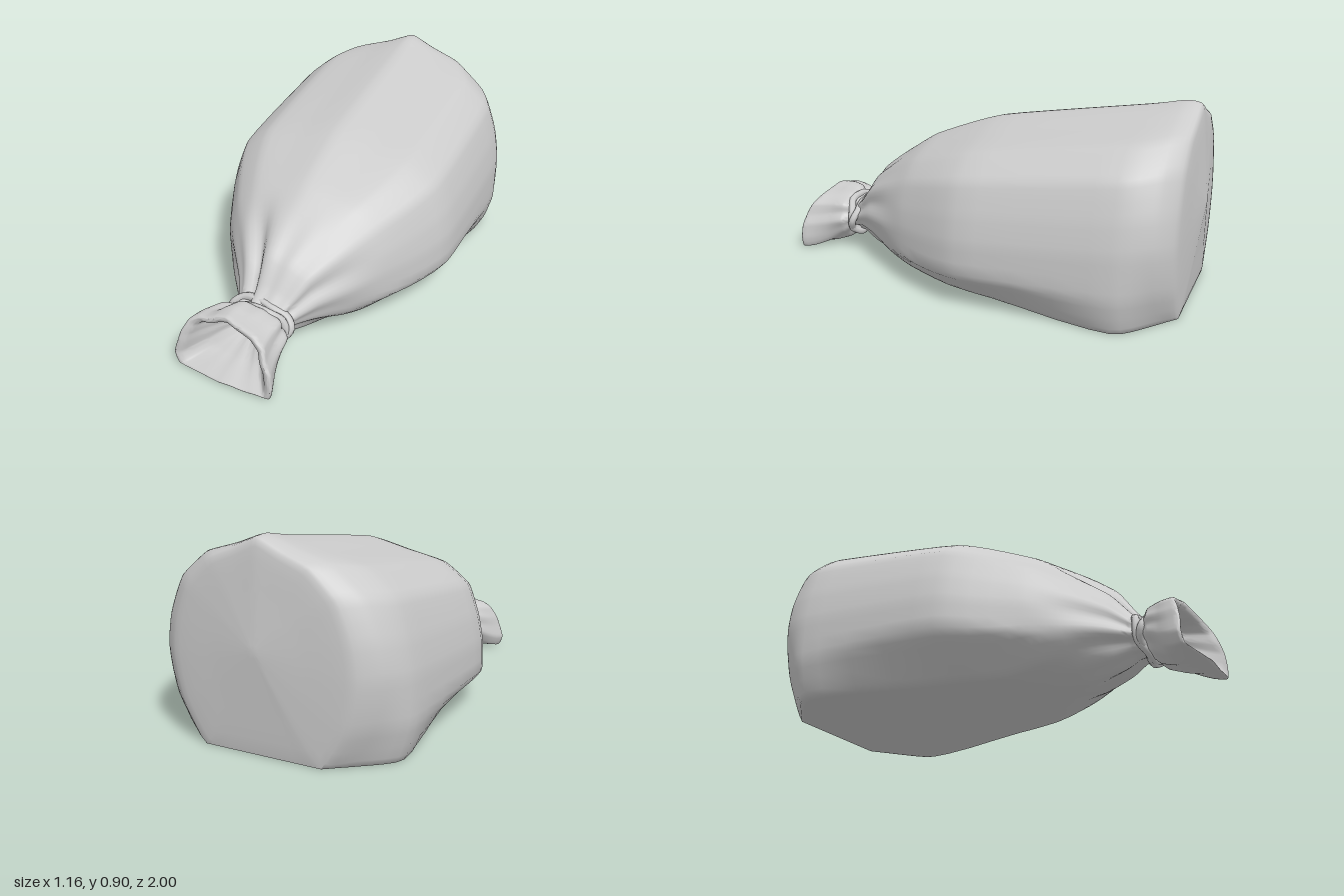
import * as THREE from 'three';
import { toCreasedNormals } from 'three/addons/utils/BufferGeometryUtils.js';

const { lerp, clamp, smoothstep } = THREE.MathUtils;
const material = new THREE.MeshStandardMaterial({ color: 0xcccccc });

// Half outline of the sagging sack, top to bottom, in a unit box (x 0..1, y 0..1)
const HALF = [[0, 1], [0.32, 0.945], [0.64, 0.89], [0.86, 0.765], [0.95, 0.58], [0.99, 0.42],
  [0.99, 0.19], [0.9, 0], [0.6, 0], [0.3, 0], [0, 0]];
const mirrored = HALF.slice(1, -1).reverse().map(([x, y]) => [-x, y]);
const OUTLINE = new THREE.CatmullRomCurve3(
  [...HALF, ...mirrored].map(([x, y]) => new THREE.Vector3(x, y, 0)), true, 'catmullrom', 0.2);

// Stations along the skin: z, half width, bottom, top
const BAG = [
  [-1, 0, 0.45, 0.45],
  [-0.978, 0.21, 0.21, 0.68],
  [-0.955, 0.425, 0, 0.885],
  [-0.88, 0.52, 0, 0.9],
  [-0.72, 0.58, 0, 0.868],
  [-0.03, 0.575, 0, 0.752],
  [0.3, 0.42, 0, 0.63],
  [0.45, 0.315, 0.008, 0.53],
  [0.6, 0.195, 0.05, 0.41],
];
const NECK_AND_MOUTH = [
  [0.68, 0.14, 0.085, 0.3],
  [0.735, 0.125, 0.085, 0.245],
  [0.78, 0.175, 0.04, 0.28],
  [0.86, 0.205, 0.01, 0.288],
  [0.985, 0.26, 0, 0.287],
  [1, 0.25, 0.005, 0.275],
  [0.985, 0.22, 0.015, 0.25],
  [0.88, 0.14, 0.055, 0.235],
  [0.8, 0.07, 0.12, 0.22],
  [0.74, 0, 0.18, 0.18],
];

// Irregular gathers round the neck, with one deep fold at the upper right
const pleat = (a) => 0.4 * Math.cos(7 * a + 0.5) + 0.4 * Math.cos(11 * a + 2)
  - 1.6 * Math.exp(-(((a - 5.75) / 0.14) ** 2));

// Smooth interpolation of one station value
function spline(p, q, r, s, t) {
  const m0 = (r - p) * 0.25, m1 = (s - q) * 0.25, t2 = t * t, t3 = t2 * t;
  return q * (2 * t3 - 3 * t2 + 1) + m0 * (t3 - 2 * t2 + t) + r * (3 * t2 - 2 * t3) + m1 * (t3 - t2);
}

function refine(stations, steps) {
  const at = (i) => stations[clamp(i, 0, stations.length - 1)];
  const rows = [];
  for (let i = 0; i < stations.length - 1; i++) {
    for (let k = 0; k < steps; k++) {
      rows.push(at(i).map((q, c) => spline(at(i - 1)[c], q, at(i + 1)[c], at(i + 2)[c], k / steps)));
    }
  }
  rows.push(at(stations.length - 1));
  return rows;
}

function loft(stations, around, steps) {
  const rows = refine(stations, steps), positions = [], index = [];
  for (const [z, w, y0, y1] of rows) {
    // The section turns round and pleated at the neck; the mouth flares, drifts and leans back
    const round = smoothstep(z, 0.1, 0.65) * (1 - smoothstep(z, 0.74, 0.97));
    const depth = 0.11 * smoothstep(z, 0.32, 0.65) * (1 - 0.8 * smoothstep(z, 0.65, 0.98));
    const mouth = smoothstep(z, 0.78, 1);
    const cx = -0.06 * smoothstep(z, 0.6, 0.95);
    // Corners are cut off at the back end, and the base draws in toward the neck
    const cut = 0.28 * (1 - smoothstep(z, -0.96, -0.72));
    const tuck = 0.3 * smoothstep(z, -0.75, 0.05) * (1 - smoothstep(z, 0.2, 0.7));
    for (let j = 0; j < around; j++) {
      const a = (j / around) * Math.PI * 2, p = OUTLINE.getPoint(j / around);
      const grow = 1 + depth * pleat(a);
      const v = 0.5 + (lerp(p.y, 0.5 + 0.5 * Math.cos(a), round) - 0.5) * grow;
      const u = lerp(p.x, Math.sin(a), round) * grow
        * (1 - cut * (2 * v - 1) ** 2) * (1 - tuck * Math.max(0, 1 - v / 0.22));
      positions.push(cx + w * u * (1 - 0.2 * mouth * v), Math.max(0, y0 + (y1 - y0) * v),
        clamp(z - mouth * (0.085 * v ** 3 + 0.04 * Math.max(0, -u)), -1, 1));
    }
  }
  for (let i = 0; i < rows.length - 1; i++) {
    for (let j = 0; j < around; j++) {
      const a = i * around + j, b = i * around + (j + 1) % around;
      index.push(a, a + around, b, b, a + around, b + around);
    }
  }
  const geometry = new THREE.BufferGeometry();
  geometry.setAttribute('position', new THREE.Float32BufferAttribute(positions, 3));
  geometry.setIndex(index);
  return toCreasedNormals(geometry, 1.2);
}

// One uneven loop of cord round the neck
function cord(z, tilt, phase) {
  const points = [];
  for (let i = 0; i < 12; i++) {
    const a = (i / 12) * Math.PI * 2, wobble = 1 + 0.06 * Math.sin(3 * a + phase);
    points.push(new THREE.Vector3(-0.02 + 0.148 * wobble * Math.sin(a), 0.163 + 0.088 * wobble * Math.cos(a),
      z + tilt * Math.cos(a + phase) + 0.008 * Math.sin(4 * a)));
  }
  return new THREE.TubeGeometry(new THREE.CatmullRomCurve3(points, true), 48, 0.018, 8, true);
}

export function createModel() {
  const group = new THREE.Group();
  group.name = 'tiedSack';
  const add = (name, geometry) => {
    const mesh = new THREE.Mesh(geometry, material);
    mesh.name = name;
    group.add(mesh);
  };
  // Bag, gathered neck and open mouth in one skin
  add('sack', loft([...BAG, ...NECK_AND_MOUTH], 80, 5));
  // Two crossing turns of cord
  add('cordFront', cord(0.745, 0.016, 0.4));
  add('cordBack', cord(0.722, 0.018, 3.2));
  return group;
}
